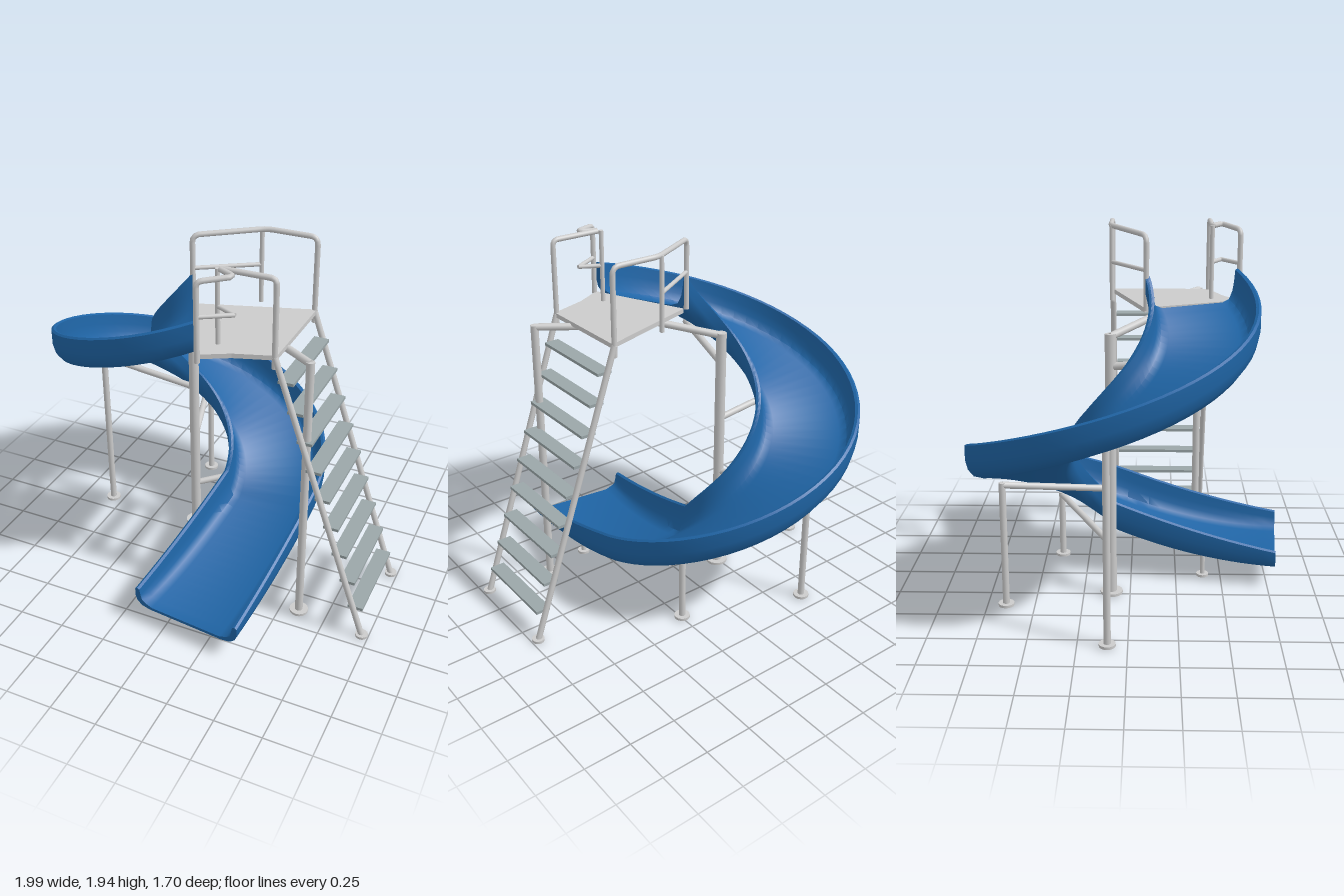
import * as THREE from 'three';
import { toCreasedNormals } from 'three/addons/utils/BufferGeometryUtils.js';

const V = (x, y, z) => new THREE.Vector3(x, y, z);
const steel = new THREE.MeshStandardMaterial({ color: 0xcccccc });
const steelOpen = new THREE.MeshStandardMaterial({ color: 0xcccccc, side: THREE.DoubleSide });
const treadGrey = new THREE.MeshStandardMaterial({ color: 0x9aa6a8 });
const blue = new THREE.MeshStandardMaterial({ color: 0x1f65a6 });

const CX = -0.24, CZ = -0.10;        // axis of the spiral
const RAD = Math.PI / 180;

function add(group, name, geometry, material = steel) {
  const mesh = new THREE.Mesh(geometry, material);
  mesh.name = name;
  group.add(mesh);
  return mesh;
}

// Straight round bar between two points
function bar(group, name, a, b, r) {
  const mesh = add(group, name, new THREE.CylinderGeometry(r, r, a.distanceTo(b), 14));
  mesh.position.copy(a).lerp(b, 0.5);
  mesh.quaternion.setFromUnitVectors(V(0, 1, 0), b.clone().sub(a).normalize());
  return mesh;
}

// Bent tube through the points, with rounded corners
function bentTube(group, name, pts, r, bend = 0.04) {
  const path = new THREE.CurvePath();
  let from = pts[0];
  for (let i = 1; i < pts.length - 1; i++) {
    const p = pts[i];
    const toward = (q) => p.clone().add(q.clone().sub(p).setLength(Math.min(bend, p.distanceTo(q) * 0.45)));
    const a = toward(pts[i - 1]), b = toward(pts[i + 1]);
    path.add(new THREE.LineCurve3(from, a));
    path.add(new THREE.QuadraticBezierCurve3(a, p, b));
    from = b;
  }
  path.add(new THREE.LineCurve3(from, pts[pts.length - 1]));
  add(group, name, new THREE.TubeGeometry(path, 80, r, 10), steelOpen);
}

// Disc bolted to the ground under a post
function foot(group, x, z, r) {
  add(group, 'footPlate', new THREE.CylinderGeometry(r, r, 0.014, 16)).position.set(x, 0.007, z);
}

function post(group, name, x, z, height, r, footR) {
  bar(group, name, V(x, 0, z), V(x, height, z), r);
  foot(group, x, z, footR);
}

// Closed trough section: across (u) and up (v), for half width w and wall height h
function troughSection(w, h) {
  const under = [[w, h - 0.008], [w, h * 0.55], [w - 0.012, h * 0.28], [w - 0.04, h * 0.08], [w - 0.09, 0]];
  const inside = [[w - 0.1, 0.016], [w - 0.06, 0.032], [w - 0.04, h * 0.4], [w - 0.032, h * 0.65],
    [w - 0.026, h - 0.006], [w - 0.012, h]];
  const flip = (list) => list.map(([u, v]) => [-u, v]);
  return [...flip(under), ...under.slice().reverse(), ...inside.slice().reverse(), ...flip(inside)];
}

function slideGeometry() {
  const startA = 63, endA = 366, turns = 50, runs = 14, run = 0.875;
  const R = 0.4725, W = 0.2775, H = 0.19;
  const pos = [], idx = [];
  let n = 0;
  for (let i = 0; i <= turns + runs; i++) {
    const k = Math.min(i / turns, 1), t = Math.max(0, (i - turns) / runs);
    const a = (startA + (endA - startA) * k) * RAD, c = Math.cos(a), s = Math.sin(a);
    const y = t > 0 ? 0.095 + 0.155 * (1 - t) ** 2 : 1.52 - 1.27 * k;
    const section = troughSection(W + 0.0275 * t, H - 0.075 * t * t);
    n = section.length;
    for (const [u, v] of section) {
      pos.push(CX + c * (R + u) - s * run * t, y + v, CZ + s * (R + u) + c * run * t);
    }
  }
  const last = turns + runs;
  for (let i = 0; i < last; i++) {
    for (let j = 0; j < n; j++) {
      const j2 = (j + 1) % n, a = i * n + j, b = i * n + j2;
      idx.push(a, b, b + n, a, b + n, a + n);
    }
  }
  // Close both ends
  const outline = troughSection(W, H).map(([u, v]) => new THREE.Vector2(u, v));
  for (const [a, b, c] of THREE.ShapeUtils.triangulateShape(outline, [])) {
    idx.push(c, b, a, last * n + a, last * n + b, last * n + c);
  }
  const g = new THREE.BufferGeometry();
  g.setAttribute('position', new THREE.Float32BufferAttribute(pos, 3));
  g.setIndex(idx);
  return toCreasedNormals(g, 0.75);
}

export function createModel() {
  const model = new THREE.Group();
  model.name = 'spiralSlide';

  add(model, 'slideTrough', slideGeometry(), blue);

  // Centre pole and the arms that carry the trough
  const supports = new THREE.Group();
  supports.name = 'supports';
  model.add(supports);
  post(supports, 'centrePole', CX, CZ, 1.43, 0.028, 0.06);
  bar(supports, 'platformArm', V(CX, 1.415, CZ), V(0.13, 1.505, 0.24), 0.02);
  bar(supports, 'upperArm', V(CX, 1.26, CZ), V(-0.36, 1.325, 0.36), 0.02);

  // Outer posts: angle round the spiral, post height, arm height at the pole
  for (const [deg, top, inner] of [[180, 1.0, 0.93], [254, 0.68, 0.6], [328, 0.38, 0.28]]) {
    const x = CX + 0.572 * Math.cos(deg * RAD), z = CZ + 0.572 * Math.sin(deg * RAD);
    post(supports, 'outerPost', x, z, top + 0.008, 0.018, 0.042);
    bar(supports, 'outerArm', V(CX, inner, CZ), V(x, top - 0.005, z), 0.018);
  }

  // Post beside the ladder that holds the platform
  post(supports, 'platformPost', 0.6, 0.38, 1.52, 0.021, 0.05);
  bar(supports, 'platformPostArm', V(0.6, 1.51, 0.38), V(0.25, 1.505, 0.15), 0.019);

  // Small frame under the exit
  post(supports, 'exitPost', -0.02, 0.4, 0.13, 0.013, 0.034);
  post(supports, 'exitPost', 0.335, 0.44, 0.13, 0.013, 0.034);
  bar(supports, 'exitBar', V(-0.02, 0.125, 0.4), V(0.335, 0.122, 0.44), 0.012);

  // Platform plate
  const outline = [[-0.12, 0.07], [0.1, 0.57], [0.25, 0.49], [0.45, 0.425], [0.45, -0.11]];
  const plate = new THREE.Shape(outline.map(([x, z]) => new THREE.Vector2(x, -z)));
  const plateGeo = new THREE.ExtrudeGeometry(plate, { depth: 0.024, bevelEnabled: false });
  add(model, 'platform', plateGeo.rotateX(-Math.PI / 2)).position.y = 1.516;

  // Ladder
  const ladder = new THREE.Group();
  ladder.name = 'ladder';
  model.add(ladder);
  for (const z of [-0.11, 0.425]) {
    bar(ladder, 'stringer', V(0.44, 1.53, z), V(0.966, 0, z), 0.016);
    foot(ladder, 0.966, z, 0.033);
  }
  for (let i = 0; i < 9; i++) {
    const y = 0.155 + i * 0.1544;
    add(ladder, 'tread', new THREE.BoxGeometry(0.08, 0.016, 0.5), treadGrey)
      .position.set(0.915 - i * 0.0531, y, 0.1575);
  }

  // Guard rails on both sides of the platform
  const rails = new THREE.Group();
  rails.name = 'guardRails';
  model.add(rails);
  const r = 0.014, top = 1.925, mid = 1.735;
  bentTube(rails, 'backRail', [V(-0.145, 1.53, 0.08), V(-0.145, 1.91, 0.08), V(0.17, top, -0.11),
    V(0.44, top, -0.11), V(0.44, 1.47, -0.11)], r);
  bentTube(rails, 'frontRail', [V(0.11, 1.5, 0.57), V(0.11, 1.91, 0.57), V(0.26, top, 0.48),
    V(0.15, top, 0.425), V(0.44, top, 0.425), V(0.44, 1.47, 0.425)], r, 0.03);
  for (const z of [-0.105, 0.425]) bar(rails, 'railPost', V(0.15, 1.53, z), V(0.15, top, z), 0.012);
  bar(rails, 'backMidRail', V(-0.145, mid, 0.08), V(0.15, mid, -0.105), 0.011);
  bar(rails, 'frontMidRail', V(0.11, mid, 0.57), V(0.26, mid, 0.48), 0.011);
  bar(rails, 'frontMidRail', V(0.26, mid, 0.48), V(0.15, mid, 0.425), 0.011);

  return model;
}
